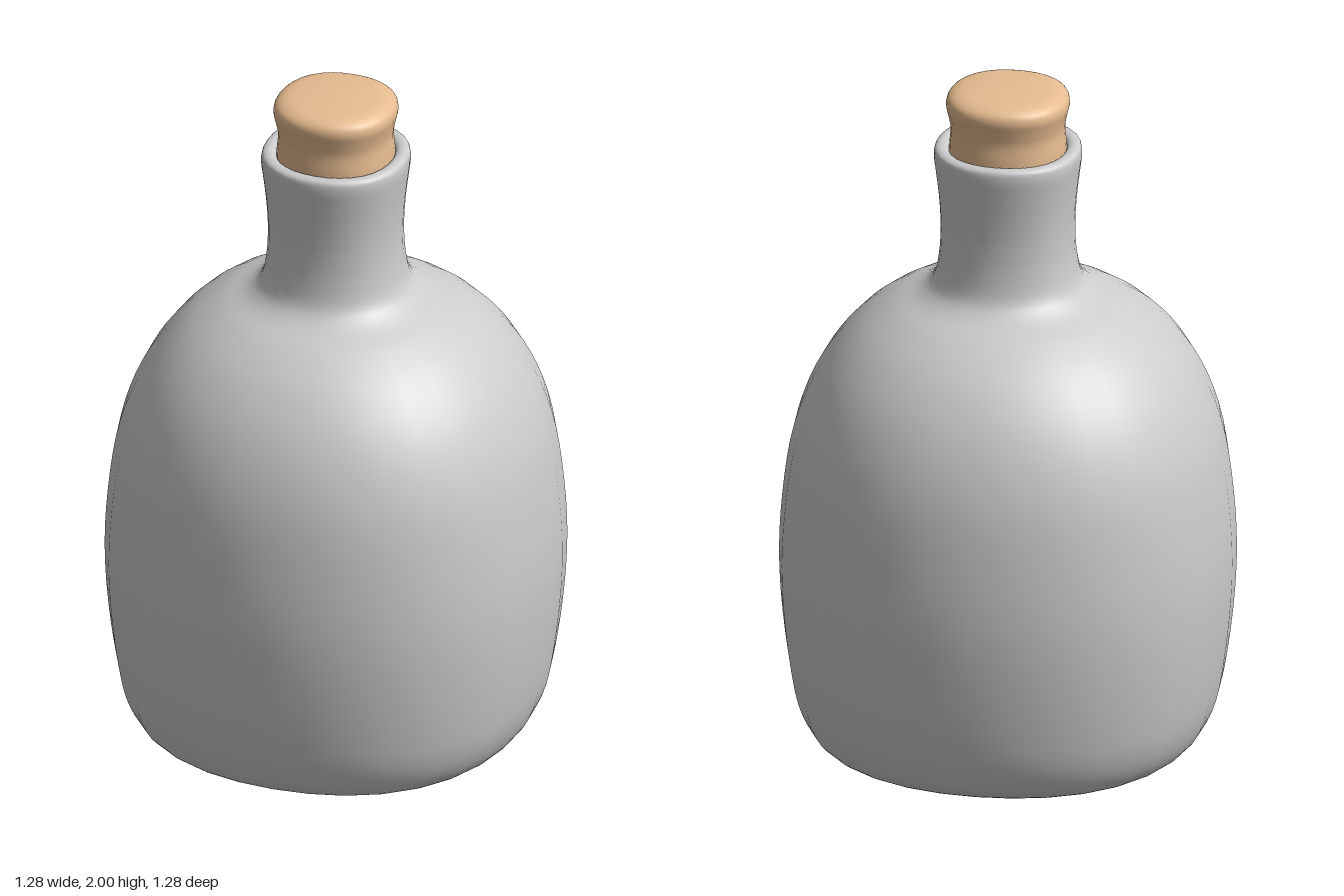
import * as THREE from 'three';
import { mergeVertices } from 'three/addons/utils/BufferGeometryUtils.js';

// Smooth turned shape with a slightly squared cross-section
function turned(name, profile, color, squareness) {
  const curve = new THREE.CatmullRomCurve3(
    profile.map(([r, y]) => new THREE.Vector3(r, y, 0)), false, 'centripetal');
  const points = curve.getPoints((profile.length - 1) * 4)
    .map((p) => new THREE.Vector2(Math.max(p.x, 0), p.y));
  let geometry = new THREE.LatheGeometry(points, 32);
  const pos = geometry.attributes.position;
  for (let i = 0; i < pos.count; i++) {
    const x = pos.getX(i), z = pos.getZ(i);
    const k = 1 + squareness * (1 - Math.cos(4 * Math.atan2(z, x))) / 2;
    pos.setX(i, x * k);
    pos.setZ(i, z * k);
  }
  // Weld the seam so the shading stays smooth all round
  geometry.deleteAttribute('uv');
  geometry.deleteAttribute('normal');
  geometry = mergeVertices(geometry, 1e-5);
  geometry.computeVertexNormals();
  const mesh = new THREE.Mesh(geometry,
    new THREE.MeshStandardMaterial({ color, side: THREE.DoubleSide }));
  mesh.name = name;
  return mesh;
}

export function createModel() {
  const group = new THREE.Group();
  group.name = 'corkedBottle';

  // Base, belly, shoulder, neck, rolled lip and inside of the mouth
  group.add(turned('bottle', [
    [0, 0.003], [0.2, 0.007], [0.38, 0.018], [0.48, 0.034], [0.54, 0.065],
    [0.583, 0.14], [0.612, 0.27], [0.638, 0.54], [0.63, 0.76], [0.595, 0.98],
    [0.525, 1.15], [0.43, 1.27], [0.33, 1.343], [0.245, 1.385], [0.21, 1.42],
    [0.193, 1.49], [0.188, 1.58], [0.193, 1.67], [0.201, 1.74], [0.207, 1.795],
    [0.203, 1.818], [0.188, 1.825], [0.17, 1.82], [0.162, 1.8], [0.16, 1.7],
  ], 0xcccccc, 0.033));

  // Stopper with a narrow waist and a rounded head
  group.add(turned('cork', [
    [0, 1.7], [0.13, 1.7], [0.158, 1.72], [0.164, 1.82], [0.16, 1.88],
    [0.167, 1.92], [0.173, 1.95], [0.167, 1.972], [0.145, 1.987],
    [0.1, 1.995], [0, 2],
  ], 0xe6bc90, 0.035));

  return group;
}
